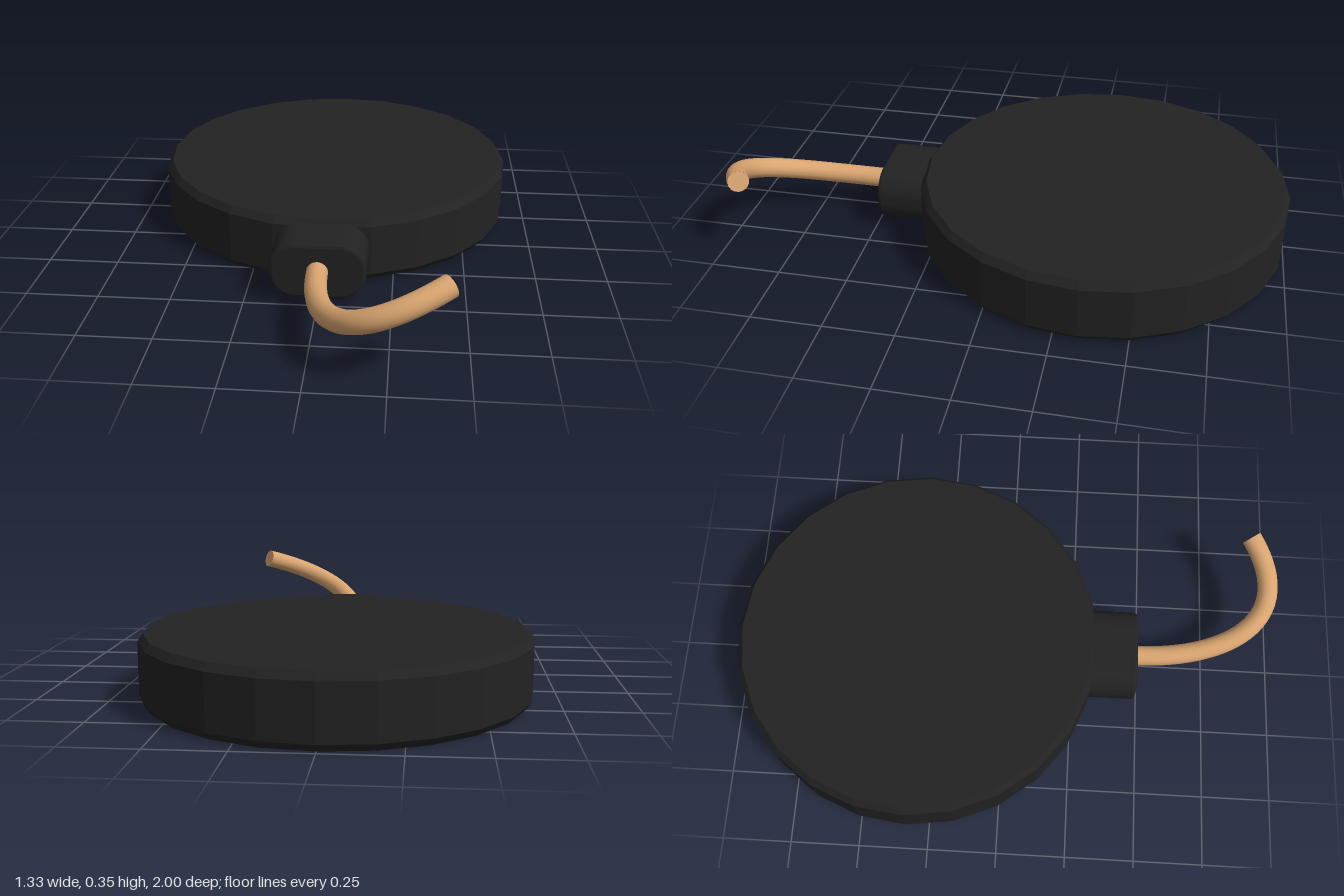
import * as THREE from 'three';

export function createModel() {
  const group = new THREE.Group();
  const black = new THREE.MeshStandardMaterial({ color: 0x222222, flatShading: true });
  black.name = 'black casing';
  const copper = new THREE.MeshStandardMaterial({ color: 0xd9a570 });
  copper.name = 'copper wire';

  const add = (name, geometry, material) => {
    const mesh = new THREE.Mesh(geometry, material);
    mesh.name = name;
    group.add(mesh);
    return mesh;
  };

  // Round body: 24-sided disc with chamfered rims
  const profile = [[0, 0], [0.647, 0], [0.667, 0.025], [0.667, 0.208], [0.647, 0.233], [0, 0.233]];
  const body = add('body', new THREE.LatheGeometry(profile.map(([r, y]) => new THREE.Vector2(r, y)), 24), black);
  body.position.z = -0.333;

  // Collar: rounded block with a bevelled front edge
  const bevel = 0.012;
  const w = 0.163 - bevel, h = 0.1 - bevel, r = 0.075;
  const outline = new THREE.Shape();
  outline.moveTo(w, h - r);
  outline.absarc(w - r, h - r, r, 0, Math.PI / 2);
  outline.absarc(-w + r, h - r, r, Math.PI / 2, Math.PI);
  outline.absarc(-w + r, -h + r, r, Math.PI, Math.PI * 1.5);
  outline.absarc(w - r, -h + r, r, Math.PI * 1.5, Math.PI * 2);
  const collar = add('collar', new THREE.ExtrudeGeometry(outline, {
    depth: 0.25, curveSegments: 6, bevelSize: bevel, bevelThickness: bevel, bevelSegments: 2,
  }), black);
  collar.position.set(0, 0.118, 0.485 - bevel - 0.25);

  // Wire curling out of the collar, to the side and upward
  const wireRadius = 0.037;
  const path = new THREE.CubicBezierCurve3(
    new THREE.Vector3(0, 0.12, 0.475),
    new THREE.Vector3(0, 0.12, 0.8),
    new THREE.Vector3(0.12, 0.21, 1.1),
    new THREE.Vector3(0.422, 0.313, 0.89),
  );
  add('wire', new THREE.TubeGeometry(path, 32, wireRadius, 16), copper);

  // Flat cut end of the wire
  const cap = add('wireEnd', new THREE.CircleGeometry(wireRadius, 16), copper);
  cap.position.copy(path.getPoint(1));
  cap.quaternion.setFromUnitVectors(new THREE.Vector3(0, 0, 1), path.getTangent(1));

  return group;
}
